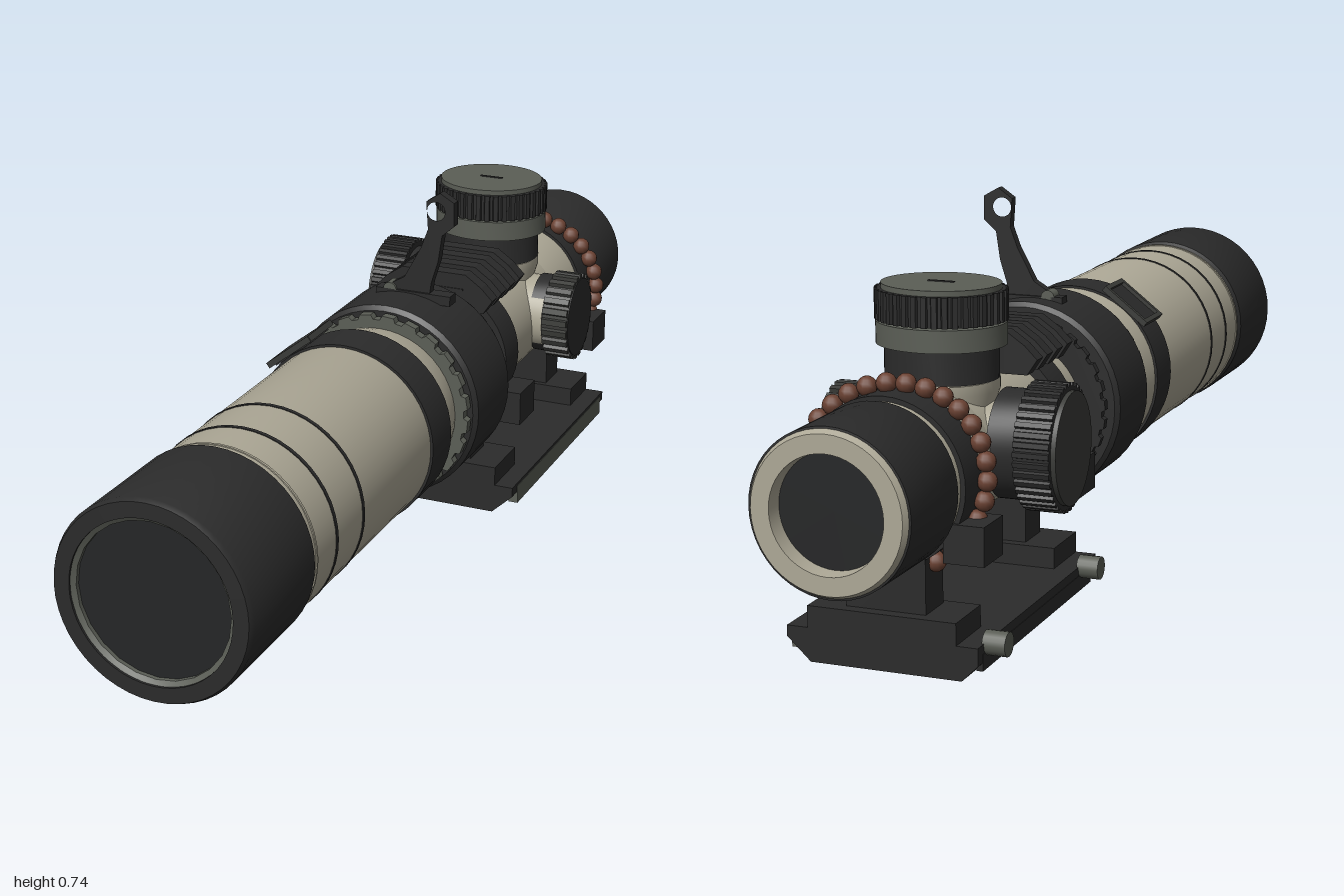
import * as THREE from 'three';
import { toCreasedNormals } from 'three/addons/utils/BufferGeometryUtils.js';

const mat = (name, color, side = THREE.FrontSide) => {
  const m = new THREE.MeshStandardMaterial({ color, side });
  m.name = name;
  return m;
};

export function createModel() {
  const black = mat('black', 0x2b2b2b);
  const tan = mat('tan', 0xada896);
  const grey = mat('grey', 0x5b5e56);
  const charcoal = mat('charcoal', 0x3a3b38);
  const brown = mat('brown', 0x6b4233);
  const glass = mat('glass', 0x252627);

  const model = new THREE.Group();
  model.name = 'scope';
  const CX = 0.02, CY = 0.33;

  const add = (parent, name, geo, material, x = 0, y = 0, z = 0) => {
    const m = new THREE.Mesh(geo, material);
    m.name = name;
    m.position.set(x, y, z);
    parent.add(m);
    return m;
  };
  const box = (parent, name, w, h, d, material, x, y, z) =>
    add(parent, name, new THREE.BoxGeometry(w, h, d), material, x, y, z);
  // turned profile around y, given as [radius, height] from bottom to top
  const turned = (pts, seg = 48) => toCreasedNormals(
    new THREE.LatheGeometry(pts.map(p => new THREE.Vector2(p[0], p[1])), seg), 0.5);
  const extrude = (shape, depth) =>
    new THREE.ExtrudeGeometry(shape, { depth, bevelEnabled: false, curveSegments: 16 });
  const polygon = pts => new THREE.Shape(pts.map(p => new THREE.Vector2(p[0], p[1])));
  // ridged disc along z with n square teeth
  const ridged = (rOut, rIn, n, depth) => {
    const pts = [];
    for (let i = 0; i < n; i++) {
      [[0, rIn], [0.3, rIn], [0.4, rOut], [0.9, rOut]].forEach(([t, r]) => {
        const a = (i + t) / n * Math.PI * 2;
        pts.push([Math.cos(a) * r, Math.sin(a) * r]);
      });
    }
    return extrude(polygon(pts), depth);
  };

  // main optical tube, turned about the z axis
  const tube = new THREE.Group();
  tube.name = 'tube';
  tube.position.set(CX, CY, 0);
  model.add(tube);
  const turnZ = (name, pts, material, seg) => add(tube, name, turned(pts, seg).rotateX(Math.PI / 2), material);
  // solid band between two z values
  const band = (name, r, z0, z1, material) => turnZ(name, [[0, z0], [r, z0], [r, z1], [0, z1]], material);

  turnZ('objectiveHood', [[0, 0.755], [0.18, 0.755], [0.186, 0.762], [0.187, 0.99], [0.182, 1], [0.153, 1], [0.153, 0.97]], black);
  turnZ('objectiveLensRing', [[0.154, 0.996], [0.145, 0.99], [0.145, 0.98]], grey, 24);
  turnZ('objectiveLens', [[0.15, 0.982], [0, 0.982]], glass, 24);
  turnZ('objectiveBody', [[0.15, 0.03], [0.158, 0.06], [0.18, 0.14], [0.18, 0.76]], tan);
  band('bodyLine', 0.1815, 0.545, 0.553, black);
  band('bodyLine', 0.1815, 0.656, 0.664, black);
  band('bodyLine', 0.182, 0.74, 0.745, tan);
  band('strap', 0.185, 0.15, 0.24, black);
  add(tube, 'gripRidge', ridged(0.188, 0.179, 24, 0.018), grey, 0, 0, 0.054);
  turnZ('zoomRing', [[0, -0.13], [0.19, -0.13], [0.199, -0.122], [0.199, 0.042], [0.19, 0.05], [0, 0.05]], black);
  add(tube, 'zoomRearRidge', ridged(0.18, 0.173, 30, 0.016), black, 0, 0, -0.158);
  turnZ('mainTube', [[0.13, -0.62], [0.13, -0.12]], tan);
  turnZ('eyepieceFlare', [[0.14, -0.795], [0.145, -0.71], [0.13, -0.6]], tan);
  turnZ('eyepiece', [[0.13, -0.99], [0.146, -0.988], [0.147, -0.8], [0.142, -0.79], [0.12, -0.79]], black);
  turnZ('eyepieceRim', [[0.1, -0.96], [0.103, -1], [0.136, -1], [0.143, -0.987]], tan);
  turnZ('eyepieceLens', [[0, -0.968], [0.106, -0.968]], glass, 32);

  // strap buckle frame lying on the upper right of the strap
  const buckle = new THREE.Group();
  buckle.name = 'strapBuckle';
  buckle.position.set(CX, CY, 0.187);
  buckle.rotation.z = 0.66;
  model.add(buckle);
  box(buckle, 'bucklePlate', 0.095, 0.008, 0.08, black, 0, 0.187, 0);
  for (const s of [-1, 1]) {
    box(buckle, 'buckleBar', 0.112, 0.012, 0.01, charcoal, 0, 0.192, s * 0.046);
    box(buckle, 'buckleSide', 0.01, 0.012, 0.1, charcoal, s * 0.052, 0.192, 0);
  }

  // throw lever with a round eye
  const lever = polygon([[0.095, 0.742], [0.125, 0.725], [0.125, 0.677], [0.1, 0.655], [0.092, 0.6],
    [0.078, 0.555], [0.07, 0.5], [-0.05, 0.5], [-0.035, 0.525], [-0.01, 0.542], [0.02, 0.56],
    [0.055, 0.625], [0.07, 0.665], [0.066, 0.722]]);
  const eye = new THREE.Path();
  eye.absarc(0.087, 0.704, 0.019, 0, Math.PI * 2, true);
  lever.holes.push(eye);
  add(model, 'throwLever', extrude(lever, 0.02), black, 0, 0, -0.07);
  add(model, 'leverPivot', new THREE.CylinderGeometry(0.014, 0.014, 0.03, 16).rotateX(Math.PI / 2), grey, -0.01, 0.531, -0.06);
  box(model, 'leverFoot', 0.16, 0.02, 0.03, black, 0.04, 0.522, -0.06);

  // turret saddle
  const TZ = -0.525;
  const saddle = turned([[0.085, -0.03], [0.085, 0.05], [0.105, 0.115], [0.105, 0.135], [0, 0.135]]);
  add(model, 'turretSaddle', saddle, tan, CX, CY, TZ);
  add(model, 'sideSaddle', new THREE.CylinderGeometry(0.08, 0.08, 0.29, 40).rotateZ(Math.PI / 2), tan, CX + 0.005, 0.345, TZ);

  // turrets are built along +y, slightly narrower in z
  const turret = (name, x, y, turn) => {
    const g = new THREE.Group();
    g.name = name;
    g.position.set(x, y, TZ);
    g.rotation.z = turn;
    g.scale.z = 0.9;
    model.add(g);
    return {
      disc: (n, r, y0, y1, m) => add(g, n, turned([[0, y0], [r, y0], [r, y1], [0, y1]]), m),
      ridge: (n, r, count, y0, y1, m, cut = 0.006) =>
        add(g, n, ridged(r, r - cut, count, y1 - y0).rotateX(-Math.PI / 2), m, 0, y0, 0),
      group: g,
    };
  };
  const top = turret('topTurret', CX, 0, 0);
  top.disc('turretNeck', 0.105, 0.45, 0.53, black);
  top.disc('turretBand', 0.12, 0.526, 0.567, grey);
  top.ridge('turretKnob', 0.122, 40, 0.57, 0.625, black);
  top.disc('turretCap', 0.11, 0.62, 0.635, grey);
  box(top.group, 'turretMark', 0.05, 0.004, 0.006, black, 0, 0.635, 0);

  const right = turret('rightTurret', 0, 0.352, Math.PI / 2);
  right.disc('turretNeck', 0.1, 0.1, 0.16, black);
  right.ridge('turretKnob', 0.117, 40, 0.155, 0.222, black);
  right.disc('turretCap', 0.103, 0.215, 0.231, charcoal);

  const left = turret('leftTurret', 0, 0.345, -Math.PI / 2);
  left.disc('turretNeck', 0.085, 0.14, 0.18, black);
  left.ridge('turretKnob', 0.095, 24, 0.172, 0.228, charcoal, 0.008);
  left.disc('turretCap', 0.086, 0.22, 0.23, black);

  // mount base
  const base = polygon([[-0.13, 0], [0.155, 0], [0.2, 0.042], [0.2, 0.062], [-0.16, 0.062], [-0.16, 0.03]]);
  add(model, 'mountBase', extrude(base, 0.59), black, 0, 0, -0.8);
  box(model, 'baseRail', 0.02, 0.04, 0.54, grey, 0.191, 0.036, -0.51);
  box(model, 'baseRail', 0.012, 0.03, 0.54, black, -0.155, 0.03, -0.51);

  // two clamps, each with step, pedestal, ring, ears and screw
  for (const [z, stepZ, stepD] of [[-0.273, -0.27, 0.12], [-0.74, -0.745, 0.11]]) {
    const g = new THREE.Group();
    g.name = 'clamp';
    model.add(g);
    box(g, 'clampStep', 0.28, 0.05, stepD, black, CX, 0.077, stepZ);
    box(g, 'clampPedestal', 0.15, 0.14, 0.075, black, CX, 0.15, z);
    add(g, 'clampRing', turned([[0.12, -0.036], [0.15, -0.036], [0.15, 0.036], [0.12, 0.036]])
      .rotateX(Math.PI / 2), black, CX, CY, z);
    for (const s of [-1, 1]) box(g, 'clampEar', 0.075, 0.07, 0.085, black, CX + s * 0.148, 0.235, z);
    add(g, 'clampScrew', new THREE.CylinderGeometry(0.022, 0.022, 0.042, 16).rotateZ(Math.PI / 2),
      grey, -0.177, 0.059, z - 0.012);
  }

  // accessory rail over the front clamp: low strip with chamfered teeth
  box(model, 'railStrip', 0.13, 0.04, 0.19, black, CX, 0.473, -0.295);
  const tooth = polygon([[-0.09, 0.445], [0.13, 0.445], [0.15, 0.475], [0.125, 0.5], [0.09, 0.524],
    [-0.05, 0.524], [-0.085, 0.5], [-0.11, 0.475]]);
  for (const z of [-0.232, -0.285, -0.338, -0.39])
    add(model, 'railTooth', extrude(tooth, 0.03), black, 0, 0, z);

  // slanted loop of beads around the eyepiece
  const beads = new THREE.Group();
  beads.name = 'beadLoop';
  model.add(beads);
  const bead = new THREE.SphereGeometry(0.0185, 12, 8);
  for (let i = 0; i < 30; i++) {
    const a = i / 30 * Math.PI * 2, dx = Math.cos(a) * 0.162, dy = Math.sin(a) * 0.162;
    add(beads, 'bead', bead, brown, CX + dx, CY + dy, -0.742 - 0.2 * dx + 0.13 * dy);
  }
  return model;
}
